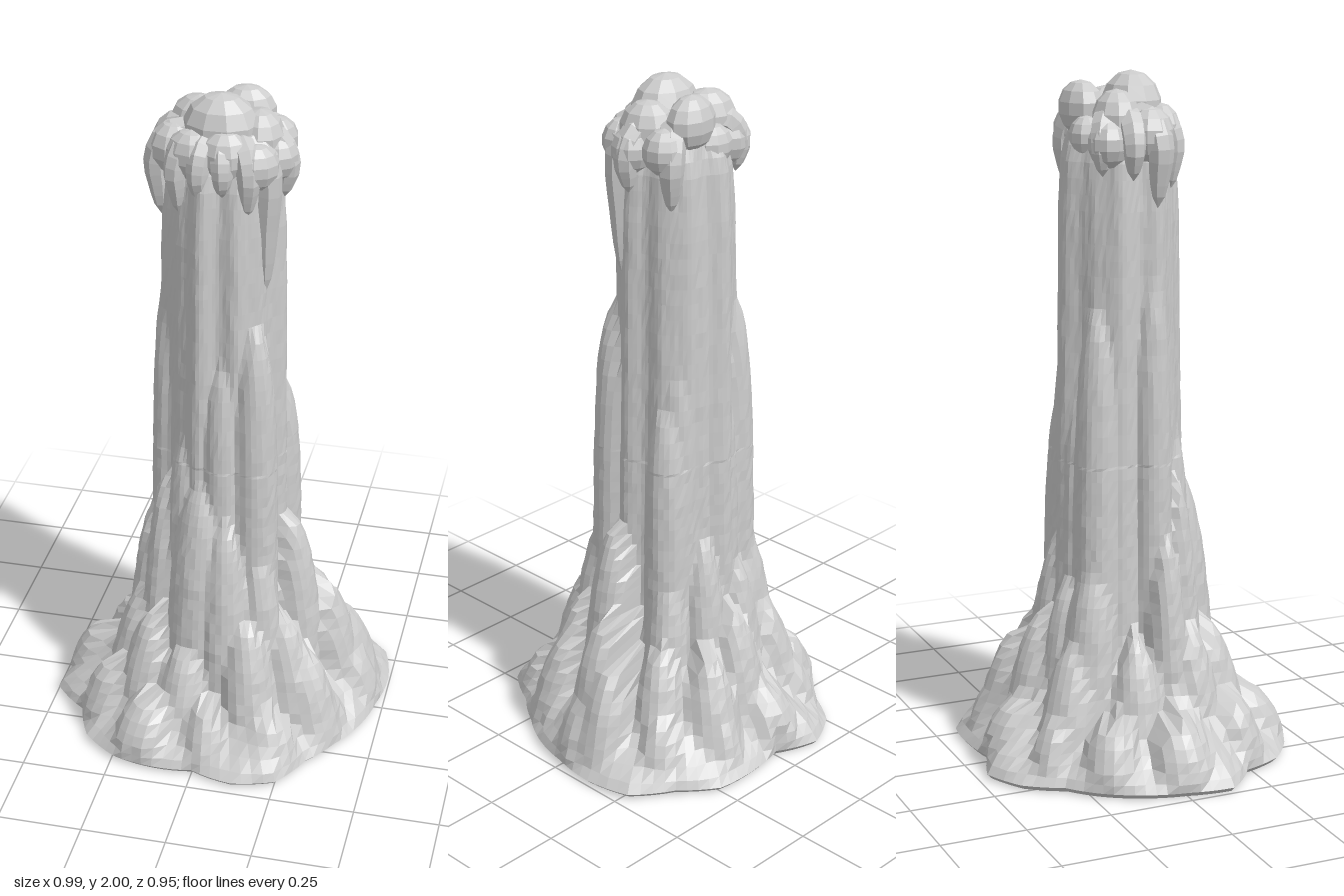
import * as THREE from 'three';

const stone = new THREE.MeshStandardMaterial({ color: 0xcccccc, flatShading: true, side: THREE.DoubleSide });
stone.name = 'pale stone';

// Small repeatable wobble, -1..1
const wobble = (a, b) => {
  const s = Math.sin(a * 12.9898 + b * 78.233) * 43758.5453;
  return (s - Math.floor(s)) * 2 - 1;
};

// Linear lookup in a table of [input, output]
function lookup(table, v) {
  const i = table.findIndex(([a]) => a >= v);
  if (i < 0) return table[table.length - 1][1];
  if (i === 0) return table[0][1];
  const [a, p] = table[i - 1], [b, q] = table[i];
  return p + (q - p) * (v - a) / (b - a);
}

// Radius of the base on the ground, every 15 degrees from +x towards +z
const OUTLINE = [
  0.48, 0.465, 0.45, 0.455, 0.505, 0.49, 0.44, 0.465, 0.49, 0.49, 0.455, 0.515,
  0.48, 0.463, 0.45, 0.435, 0.48, 0.492, 0.425, 0.46, 0.505, 0.5, 0.54, 0.515,
];
function outlineRadius(a) {
  const k = a / (Math.PI * 2) * 24, i = Math.floor(k);
  return THREE.MathUtils.lerp(OUTLINE[i % 24], OUTLINE[(i + 1) % 24], k - i);
}

// Height to scale of the outline, and height to column radius
const SKIRT = [[0, 0.97], [0.015, 1], [0.04, 0.97], [0.08, 0.87], [0.13, 0.75], [0.19, 0.63], [0.27, 0.5], [0.36, 0.4], [0.46, 0.3], [0.6, 0]];
const COLUMN = [[0, 0.2], [0.7, 0.182], [1.2, 0.172], [1.6, 0.166], [1.75, 0.158], [1.84, 0.14], [1.9, 0.03]];

// Spires: angle in degrees, distance of the tip from the axis, height, width
const TALL = [
  [45, 0.163, 1.34, 0.066], [79, 0.132, 1.25, 0.06], [168, 0.148, 1.47, 0.055], [227, 0.163, 1.37, 0.066],
  [322, 0.178, 1.09, 0.066], [312, 0.15, 1.26, 0.06], [291, 0.112, 1.94, 0.065], [126, 0.136, 1, 0.06],
  [254, 0.146, 1.16, 0.055], [4, 0.13, 1.84, 0.045],
];
const MIDDLE = [
  [101, 0.153, 0.86, 0.1], [77, 0.195, 0.74, 0.075], [166, 0.206, 0.69, 0.06], [144, 0.186, 0.83, 0.055],
  [8, 0.212, 0.69, 0.08], [49, 0.212, 0.63, 0.07], [227, 0.205, 0.62, 0.08], [289, 0.18, 0.67, 0.07],
  [252, 0.2, 0.56, 0.07], [320, 0.22, 0.57, 0.07],
];
const LOW = [
  [356, 0.31, 0.44], [346, 0.36, 0.32], [63, 0.268, 0.43], [36, 0.272, 0.41], [30, 0.32, 0.31], [153, 0.246, 0.43],
  [130, 0.262, 0.41], [193, 0.226, 0.4], [272, 0.25, 0.44], [297, 0.313, 0.35], [234, 0.272, 0.39], [103, 0.257, 0.34],
  [323, 0.3, 0.37],
];
const spire = (spread, blunt) => ([deg, tip, height, width = 0.09]) => ({
  angle: THREE.MathUtils.degToRad(deg), tip, foot: tip + spread, height, width, blunt,
});
const SPIRES = [...TALL.map(spire(0.025, 8)), ...MIDDLE.map(spire(0.05, 4)), ...LOW.map(spire(0.05, 2.5))];
// Knobs round the rim
for (let i = 0; i < 12; i++) {
  const deg = 25 + i * 30 + 4 * wobble(i, 1);
  const reach = outlineRadius(THREE.MathUtils.degToRad(deg) % (Math.PI * 2)) * 0.76;
  SPIRES.push(spire(0.03, 2.5)([deg, reach, 0.2 + 0.03 * wobble(i, 2), 0.085 + 0.02 * wobble(i, 3)]));
}

// Outermost of the skirt, the fluted column and the spires at angle a, height y
function bodyRadius(a, y) {
  const rim = outlineRadius(a);
  if (y < 0.02) return rim * lookup(SKIRT, y);
  const lobes = 1 + 0.14 * Math.sin(a * 7 + 1) + 0.08 * Math.sin(a * 13);
  const flutes = 1 + 0.05 * Math.sin(a * 7 + y * 0.7) + 0.03 * Math.sin(a * 11 + 1);
  let r = Math.max(rim * lookup(SKIRT, y / lobes), lookup(COLUMN, y) * flutes - 0.012 * Math.sin(a));
  for (const s of SPIRES) {
    const t = y / s.height;
    if (t >= 1) continue;
    const d = s.tip + (s.foot - s.tip) * Math.pow(1 - t, 1.6);
    const w = s.width * Math.pow(1 - Math.pow(t, s.blunt), 0.6);
    const along = d * Math.cos(a - s.angle), across = d * Math.sin(a - s.angle);
    if (along > 0 && Math.abs(across) < w) r = Math.max(r, along + Math.sqrt(w * w - across * across));
  }
  return Math.min(r, rim);
}

// One hollow shell, open underneath
function bodyShell() {
  const heights = [0, 0.015, 0.04, 0.07];
  for (let y = 0.1; y < 0.9; y += 0.033) heights.push(y);
  for (let y = 0.9; y < 1.92; y += 0.045) heights.push(y);
  const n = 96, pos = [], idx = [];
  heights.forEach((y, i) => {
    for (let j = 0; j < n; j++) {
      const a = j / n * Math.PI * 2;
      const r = bodyRadius(a, y) * (i > 1 ? 1 + 0.008 * wobble(i, j) : 1);
      pos.push(Math.cos(a) * r, y, Math.sin(a) * r);
      if (i === heights.length - 1) continue;
      const p = i * n + j, q = i * n + (j + 1) % n;
      idx.push(p, p + n, q, q, p + n, q + n);
    }
  });
  const g = new THREE.BufferGeometry();
  g.setAttribute('position', new THREE.Float32BufferAttribute(pos, 3));
  g.setIndex(idx);
  g.computeVertexNormals();
  return g;
}

// Boulder: centre, radii across and deep, turned by its place
function lump(x, y, z, rx, rz) {
  const g = new THREE.SphereGeometry(1, 10, 7);
  g.scale(rx, (rx + rz) / 2 + 0.006, rz);
  g.rotateY(x * 4);
  g.translate(x, y, z);
  return g;
}

// Tapering arm that leaves the crown, bends over the edge and runs down the column
function drip(angle, reach, bottom, r) {
  const c = Math.cos(angle), s = Math.sin(angle);
  const at = (k, y) => new THREE.Vector3(c * k, y, s * k - 0.012);
  const curve = new THREE.CatmullRomCurve3([
    at(reach * 0.4, 1.88), at(reach * 0.82, 1.865), at(reach, 1.8), at(reach * 0.97, (1.8 + bottom) / 2), at(reach * 0.94, bottom),
  ]);
  const rings = 10, sides = 7;
  const g = new THREE.TubeGeometry(curve, rings, r, sides);
  const p = g.attributes.position, v = new THREE.Vector3();
  for (let i = 0; i < p.count; i++) {
    const t = Math.floor(i / (sides + 1)) / rings;
    const w = Math.pow(1 - Math.pow(t, 3), 0.6) + 0.02;
    const centre = curve.getPointAt(t);
    v.fromBufferAttribute(p, i).sub(centre).multiplyScalar(w).add(centre);
    p.setXYZ(i, v.x, v.y, v.z);
  }
  return g;
}

export function createModel() {
  const model = new THREE.Group();
  model.name = 'stalagmite';
  const group = (name, make, rows) => {
    const g = new THREE.Group();
    g.name = name;
    rows.forEach((row, i) => {
      const m = new THREE.Mesh(make(...row), stone);
      m.name = name + (i + 1);
      g.add(m);
    });
    model.add(g);
  };

  group('body', bodyShell, [[]]);

  // Clustered crown
  group('crownLump', lump, [
    [0, 1.897, 0.03, 0.108, 0.085], [0.025, 1.845, 0.09, 0.075, 0.065], [0.04, 1.895, -0.105, 0.085, 0.06],
    [-0.08, 1.87, -0.05, 0.09, 0.07], [-0.13, 1.83, 0.03, 0.075, 0.07], [-0.07, 1.84, 0.09, 0.075, 0.055],
    [0.1, 1.87, 0, 0.07, 0.08], [0.15, 1.82, 0.01, 0.06, 0.06], [0.11, 1.82, 0.09, 0.065, 0.055],
    [0.13, 1.83, -0.09, 0.06, 0.06], [-0.12, 1.81, -0.09, 0.07, 0.06], [-0.03, 1.82, -0.12, 0.06, 0.05],
  ]);

  // Drips under the crown: angle, reach, bottom, radius
  group('crownDrip', drip, [
    [0.1, 0.18, 1.7, 0.04], [0.55, 0.165, 1.43, 0.036], [0.95, 0.165, 1.68, 0.036], [1.4, 0.155, 1.74, 0.036],
    [1.85, 0.155, 1.72, 0.036], [2.3, 0.165, 1.67, 0.036], [2.85, 0.185, 1.63, 0.04], [3.3, 0.19, 1.71, 0.038],
    [3.8, 0.175, 1.72, 0.038], [5.6, 0.17, 1.66, 0.04],
  ]);

  return model;
}
